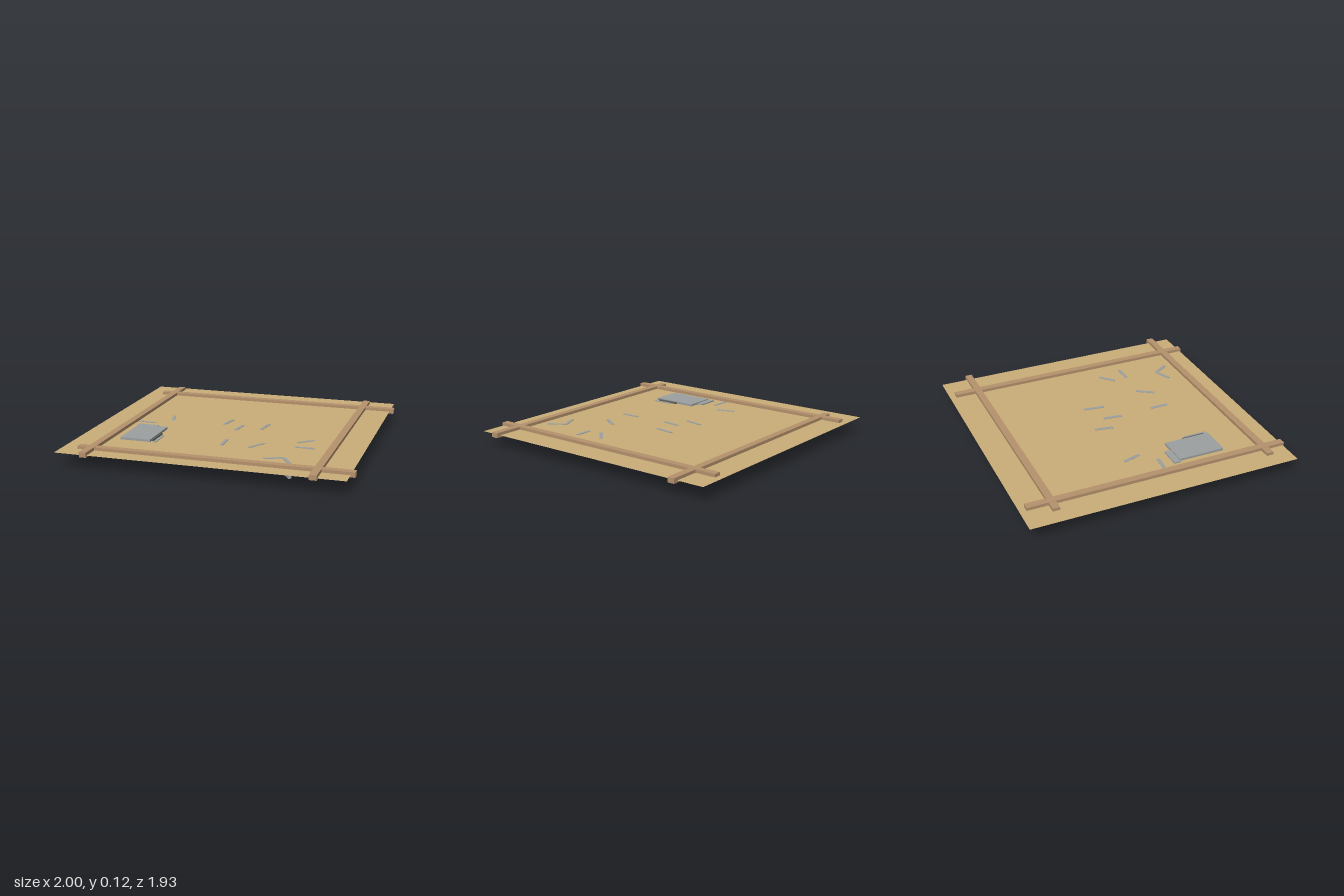
import * as THREE from 'three';

export function createModel() {
  const model = new THREE.Group();
  const mat = (name, color) => {
    const m = new THREE.MeshStandardMaterial({ color });
    m.name = name;
    return m;
  };
  const sand = mat('sand', 0xc9ad79);
  sand.side = THREE.DoubleSide;
  const wood = mat('wood', 0xb5916c);
  const stone = mat('grey stone', 0x9b9f9f);
  const dark = mat('dark grey', 0x5c5c58);

  // Box given by its minimum and maximum corners
  const block = (name, material, x0, x1, y0, y1, z0, z1) => {
    const mesh = new THREE.Mesh(new THREE.BoxGeometry(x1 - x0, y1 - y0, z1 - z0), material);
    mesh.position.set((x0 + x1) / 2, (y0 + y1) / 2, (z0 + z1) / 2);
    mesh.name = name;
    model.add(mesh);
    return mesh;
  };

  // Upright wall panel between two ground points
  const wall = (name, ax, az, bx, bz, y0 = 0, y1 = 0.102, thick = 0.023) => {
    const mesh = new THREE.Mesh(
      new THREE.BoxGeometry(Math.hypot(bx - ax, bz - az), y1 - y0, thick), stone);
    mesh.position.set((ax + bx) / 2, (y0 + y1) / 2, (az + bz) / 2);
    mesh.rotation.y = -Math.atan2(bz - az, bx - ax);
    mesh.name = name;
    model.add(mesh);
  };

  // Ground sheet
  const ground = new THREE.Mesh(new THREE.PlaneGeometry(1.97, 1.925), sand);
  ground.rotation.x = -Math.PI / 2;
  ground.position.set(-0.015, 0.099, -0.007);
  ground.name = 'sandGround';
  model.add(ground);

  // Crossing timber border
  for (const x of [-0.788, 0.76]) block('sideBeam', wood, x - 0.025, x + 0.025, 0.086, 0.121, -0.923, 0.963);
  for (const z of [-0.75, 0.81]) block('crossBeam', wood, -0.885, 1, 0.085, 0.12, z - 0.025, z + 0.025);

  // Scattered wall panels, sunk through the ground
  const panels = [
    [-0.557, -0.132, -0.52, -0.005],
    [-0.102, -0.152, -0.127, -0.02],
    [0.012, -0.035, -0.005, 0.1],
    [0.187, -0.118, 0.165, 0.035],
    [-0.755, 0.08, -0.62, 0.088],
    [0.495, 0.268, 0.59, 0.182],
    [0.505, 0.37, 0.635, 0.37],
    [0.007, 0.34, 0.01, 0.475],
    [0.28, 0.35, 0.205, 0.468],
    [0.365, 0.672, 0.487, 0.62],
    [0.487, 0.62, 0.558, 0.732],
    [-0.45, 0.385, -0.45, 0.545],
  ];
  for (const p of panels) wall('wallPanel', ...p);

  // Low platform with its step, support and side plate
  block('platform', stone, -0.7, -0.48, 0.088, 0.115, 0.212, 0.547);
  block('platformStep', stone, -0.715, -0.565, 0.096, 0.108, 0.165, 0.214);
  wall('platformSupport', -0.695, 0.36, -0.482, 0.36, 0.022, 0.114, 0.015);
  block('platformSidePlate', dark, -0.479, -0.463, 0.09, 0.11, 0.353, 0.52);

  return model;
}
